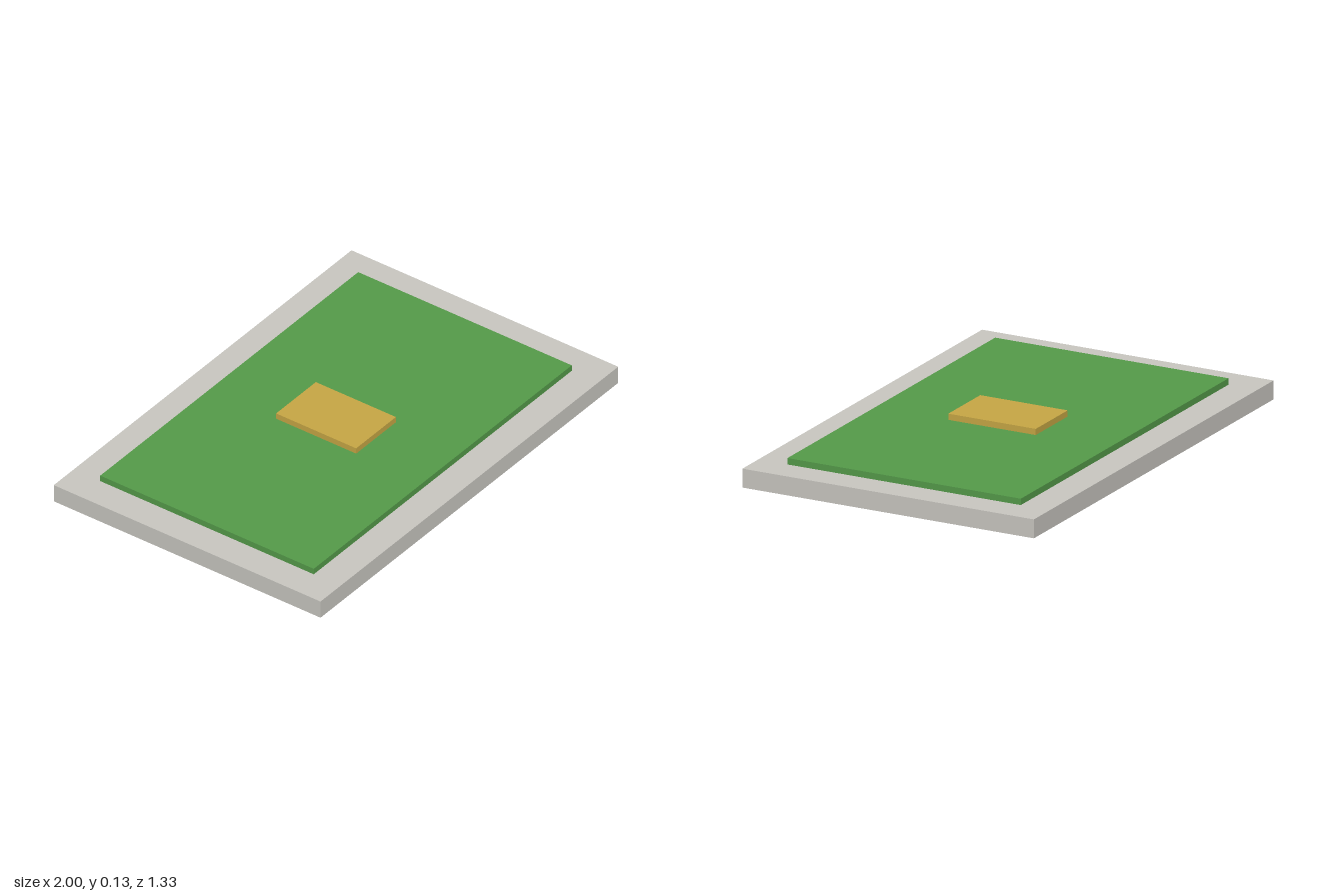
import * as THREE from 'three';

const material = (name, color) => {
  const m = new THREE.MeshStandardMaterial({ color });
  m.name = name;
  return m;
};

export function createModel() {
  const group = new THREE.Group();
  group.name = 'steppedPlatform';

  // Stacked slabs, bottom to top: name, width, height, depth, material
  const slabs = [
    ['stoneBase', 2, 0.08, 1.333, material('pale stone', 0xcac8c2)],
    ['greenLawn', 1.733, 0.027, 1.067, material('grass green', 0x559c4a)],
    ['centrePlate', 0.267, 0.026, 0.4, material('ochre', 0xc8a845)],
  ];

  let y = 0;
  for (const [name, width, height, depth, mat] of slabs) {
    const slab = new THREE.Mesh(new THREE.BoxGeometry(width, height, depth), mat);
    slab.name = name;
    slab.position.y = y + height / 2;
    y += height;
    group.add(slab);
  }
  return group;
}
